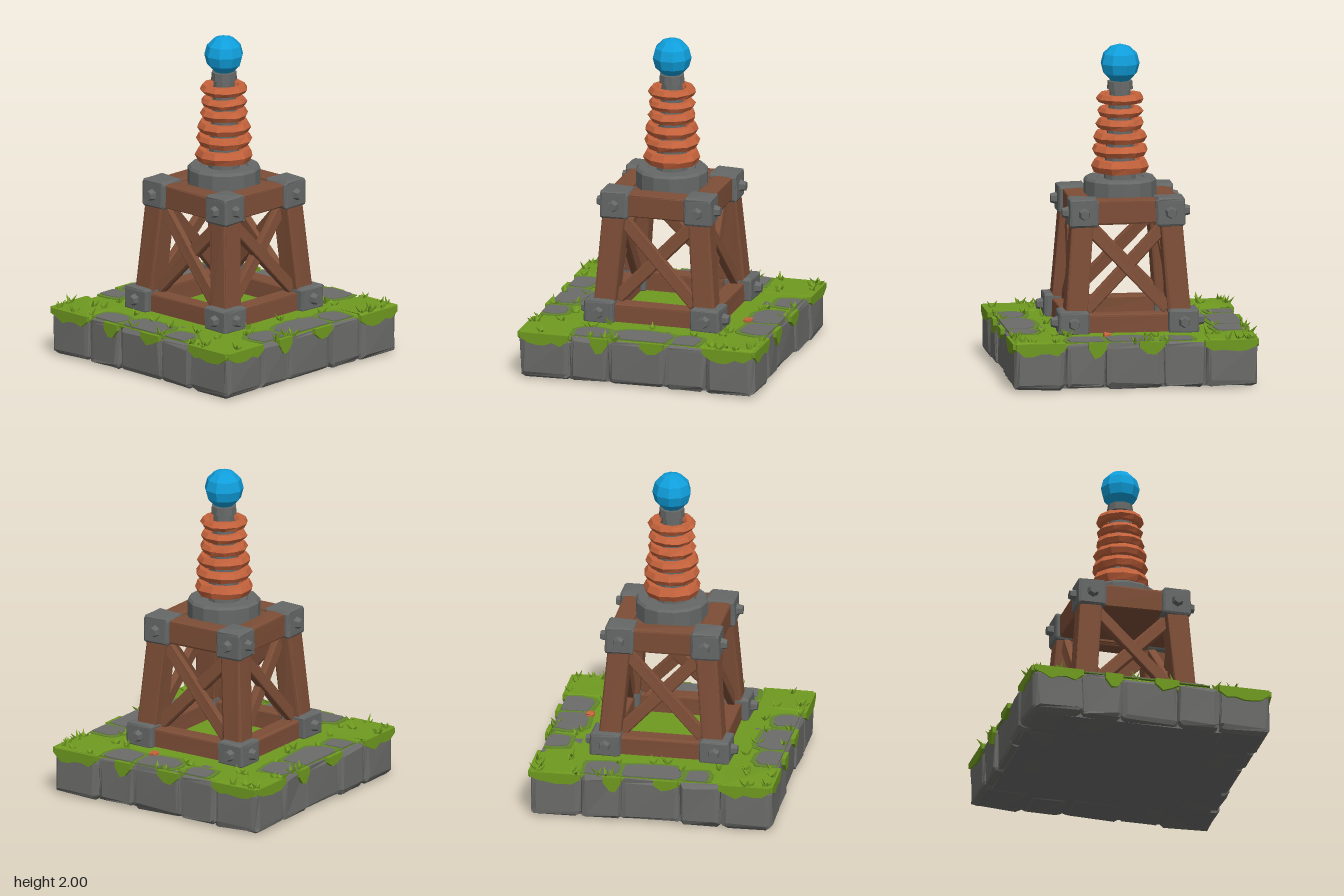
import * as THREE from 'three';
import { mergeGeometries } from 'three/addons/utils/BufferGeometryUtils.js';
import { RoundedBoxGeometry } from 'three/addons/geometries/RoundedBoxGeometry.js';

const mat = (name, color, flatShading = true) => {
  const m = new THREE.MeshStandardMaterial({ color, flatShading });
  m.name = name;
  return m;
};

export function createModel() {
  const stone = mat('stone', 0x6b6b69);
  const metal = mat('metal', 0x656867);
  const wood = mat('wood', 0x7d4e37);
  const copper = mat('copper', 0xc5633c);
  const grass = mat('grass', 0x6f9a20);
  const moss = mat('moss', 0x62852c);
  const blue = mat('blue orb', 0x109fdc);

  const model = new THREE.Group();
  model.name = 'coilTower';

  // Seeded random numbers
  let seed = 7;
  const rnd = () => (seed = (seed * 16807) % 2147483647) / 2147483647;
  const span = (a, b) => a + (b - a) * rnd();

  // Moves each vertex by a hash of its place, so shared corners stay closed
  const roughen = (geo, amount, salt = 0) => {
    const p = geo.attributes.position;
    const hash = (x, y, z, k) => {
      const s = Math.sin(Math.round(x * 1e4) * 0.127 + Math.round(y * 1e4) * 0.311 + Math.round(z * 1e4) * 0.747 + k + salt) * 437.58;
      return (s - Math.floor(s) - 0.5) * 2 * amount;
    };
    for (let i = 0; i < p.count; i++) {
      const [x, y, z] = [p.getX(i), p.getY(i), p.getZ(i)];
      p.setXYZ(i, x + hash(x, y, z, 1), y + hash(x, y, z, 2), z + hash(x, y, z, 3));
    }
    geo.computeVertexNormals();
    return geo;
  };

  const add = (parent, name, geo, material, x = 0, y = 0, z = 0) => {
    const m = new THREE.Mesh(geo, material);
    m.name = name;
    m.position.set(x, y, z);
    parent.add(m);
    return m;
  };
  const chunk = (w, h, d, bevel, rough, salt = 0) =>
    roughen(new RoundedBoxGeometry(w, h, d, 1, bevel), rough, salt);

  // ---- Stone base ----
  const base = new THREE.Group();
  base.name = 'base';
  model.add(base);
  add(base, 'foundation', new THREE.BoxGeometry(1.36, 0.25, 1.36), stone, 0, 0.13, 0);

  // Wavy strip of grass hanging over the edge
  const drapeGeo = (x0, x1, drop) => {
    const s = new THREE.Shape();
    s.moveTo(x0, 0.292);
    const n = Math.max(3, Math.round((x1 - x0) / 0.05));
    for (let i = 0; i <= n; i++) {
      const end = i === 0 || i === n;
      s.lineTo(x0 + ((x1 - x0) * i) / n, 0.28 - (end ? drop * 0.3 : drop * span(0.55, 1)));
    }
    s.lineTo(x1, 0.292);
    return new THREE.ExtrudeGeometry(s, { depth: 0.025, bevelEnabled: false });
  };

  for (let k = 0; k < 4; k++) {
    const side = new THREE.Group();
    side.name = 'baseSide' + (k + 1);
    side.rotation.y = (k * Math.PI) / 2;
    base.add(side);
    add(side, 'cornerStone', chunk(0.315, 0.272, 0.315, 0.035, 0.009, k), stone, 0.586, 0.141, 0.586);
    add(side, 'cornerGrass', chunk(0.31, 0.05, 0.31, 0.018, 0.007, k + 5), grass, 0.588, 0.271, 0.588);
    [[-0.43, -0.185, 0.735], [-0.185, 0.175, 0.725], [0.175, 0.43, 0.738]].forEach(([a, b, out], i) =>
      add(side, 'edgeStone', chunk(b - a, 0.278, 0.26, 0.03, 0.008, k * 3 + i), stone, (a + b) / 2, 0.145, out - 0.13));
    [[-0.735, -0.43, 0.07], [0.42, 0.735, 0.075], [-0.29, -0.18, 0.09], [0.02, 0.17, 0.07]].forEach(([a, b, d]) =>
      add(side, 'grassOverhang', drapeGeo(a, b, d), grass, 0, 0, 0.727));
  }

  // Grass top
  add(base, 'grassTop', chunk(1.42, 0.05, 1.42, 0.015, 0.002), grass, 0, 0.266, 0);

  // Bare stone patches with mossy rims: x0, x1, z0, z1
  const patchGeo = ([x0, x1, z0, z1], grow) => {
    const s = new THREE.Shape();
    const lim = (v) => Math.max(-0.722, Math.min(0.722, v));
    for (let i = 0; i < 14; i++) {
      const a = (i / 14) * Math.PI * 2;
      const r = 1 + 0.06 * Math.sin(i * 2.3 + x0 * 9);
      const c = Math.sign(Math.cos(a)) * Math.abs(Math.cos(a)) ** 0.6;
      const q = Math.sign(Math.sin(a)) * Math.abs(Math.sin(a)) ** 0.6;
      const x = lim((x0 + x1) / 2 + c * r * ((x1 - x0) / 2 + grow));
      const z = lim((z0 + z1) / 2 + q * r * ((z1 - z0) / 2 + grow));
      i ? s.lineTo(x, -z) : s.moveTo(x, -z);
    }
    return new THREE.ExtrudeGeometry(s, { depth: 0.006, bevelEnabled: false }).rotateX(-Math.PI / 2);
  };
  [
    [-0.35, -0.18, -0.76, -0.58], [-0.09, 0.17, -0.75, -0.53], [0.19, 0.4, -0.75, -0.54],
    [-0.73, -0.53, -0.42, -0.21], [-0.75, -0.53, -0.19, 0.17], [-0.75, -0.57, 0.21, 0.34],
    [0.55, 0.75, -0.37, -0.21], [0.53, 0.75, -0.19, 0.17], [0.55, 0.75, 0.21, 0.41],
    [-0.4, -0.2, 0.58, 0.75], [-0.17, 0.13, 0.54, 0.75], [0.19, 0.35, 0.58, 0.75],
  ].forEach((r) => {
    add(base, 'mossRim', patchGeo(r, 0.03), moss, 0, 0.289, 0);
    add(base, 'stonePatch', patchGeo(r, 0), stone, 0, 0.293, 0);
  });

  // Grass tufts: mostly around the rim and corners, some near the tower
  const blades = [];
  for (let i = 0; i < 60; i++) {
    const rim = i < 36;
    const u = rim ? (i % 3 ? span(0.45, 0.73) * (rnd() < 0.5 ? -1 : 1) : span(-0.45, 0.45)) : span(-0.6, 0.6);
    const v = rim ? span(0.69, 0.73) : span(0.44, 0.6);
    const a = ((i % 4) * Math.PI) / 2;
    const x = u * Math.cos(a) + v * Math.sin(a);
    const z = v * Math.cos(a) - u * Math.sin(a);
    for (let j = 0; j < 3; j++) {
      const h = span(0.04, 0.075);
      const g = new THREE.ConeGeometry(0.016, h, 3).translate(0, h / 2, 0);
      g.rotateX(span(0.3, 0.9)).rotateY(j * 2.1 + span(0, 1));
      blades.push(g.translate(x, 0.28, z));
    }
  }
  add(base, 'grassTufts', mergeGeometries(blades), grass);
  add(base, 'copperScrap', chunk(0.045, 0.03, 0.05, 0.008, 0.005), copper, 0.15, 0.3, -0.53);

  // ---- Timber tower: one quarter repeated four times ----
  const tower = new THREE.Group();
  tower.name = 'tower';
  model.add(tower);
  const up = new THREE.Vector3(0, 1, 0);

  const bracket = (parent, name, w, h, c, y) => {
    const g = new THREE.Group();
    g.name = name;
    g.position.set(c, y, c);
    parent.add(g);
    add(g, 'bracketBlock', chunk(w, h, w, 0.016, 0.004), metal);
    for (const onX of [true, false]) {
      const bolt = new THREE.CylinderGeometry(0.028, 0.04, 0.045, 6).rotateX(Math.PI / 2).translate(0, 0, w / 2 + 0.015);
      if (onX) bolt.rotateY(Math.PI / 2);
      add(g, 'bolt', bolt, metal);
    }
  };

  for (let k = 0; k < 4; k++) {
    const q = new THREE.Group();
    q.name = 'towerQuarter' + (k + 1);
    q.rotation.y = (k * Math.PI) / 2;
    tower.add(q);

    // Leaning corner leg
    const a = new THREE.Vector3(0.323, 0.3, 0.323);
    const b = new THREE.Vector3(0.265, 1.02, 0.265);
    const leg = add(q, 'leg', chunk(0.135, a.distanceTo(b), 0.135, 0.012, 0.004, k), wood);
    leg.position.copy(a).lerp(b, 0.5);
    leg.quaternion.setFromUnitVectors(up, b.clone().sub(a).normalize());

    bracket(q, 'footBracket', 0.185, 0.15, 0.337, 0.355);
    bracket(q, 'topBracket', 0.175, 0.17, 0.265, 1.015);

    add(q, 'bottomBeam', chunk(0.56, 0.13, 0.11, 0.012, 0.004, k), wood, 0, 0.338, 0.33);
    add(q, 'topBeam', chunk(0.46, 0.145, 0.125, 0.012, 0.004, k), wood, 0, 1.015, 0.265);

    // Crossed braces lying in the leaning face
    const cross = new THREE.Group();
    cross.name = 'crossBrace';
    cross.position.set(0, 0.68, 0.288);
    cross.rotation.x = -0.09;
    q.add(cross);
    for (const s of [1, -1]) {
      const bar = add(cross, 'brace', chunk(0.078, 0.72, 0.05, 0.01, 0.003, s), wood, 0, 0, s * 0.012);
      bar.rotation.z = s * 0.76;
    }
  }
  add(tower, 'platform', new THREE.BoxGeometry(0.46, 0.1, 0.46), wood, 0, 1.02, 0);

  // ---- Coil ----
  const coil = new THREE.Group();
  coil.name = 'coil';
  model.add(coil);
  const disc = [[0, 1.07], [0.222, 1.07], [0.222, 1.17], [0.208, 1.186], [0.15, 1.186], [0.14, 1.175], [0, 1.175]];
  add(coil, 'baseDisc', new THREE.LatheGeometry(disc.map(([r, y]) => new THREE.Vector2(r, y)), 14), metal);
  add(coil, 'core', new THREE.CylinderGeometry(0.062, 0.1, 0.57, 10), metal, 0, 1.455, 0);
  add(coil, 'cap', new THREE.CylinderGeometry(0.076, 0.08, 0.05, 10), metal, 0, 1.748, 0);

  // Copper rings: height, outer radius, half thickness
  [[1.255, 0.175, 0.043], [1.35, 0.171, 0.035], [1.432, 0.163, 0.034], [1.512, 0.147, 0.033], [1.587, 0.142, 0.029], [1.668, 0.146, 0.029]]
    .forEach(([y, r, t], i) => {
      const ring = new THREE.TorusGeometry(r - 0.035, 0.036, 6, 11).rotateX(Math.PI / 2).scale(1, t / 0.034, 1);
      add(coil, 'copperRing', roughen(ring, 0.003, i), copper, 0, y, 0).rotation.y = i * 0.9;
    });

  add(coil, 'orb', new THREE.SphereGeometry(0.12, 9, 6), blue, 0, 1.88, 0);
  return model;
}
